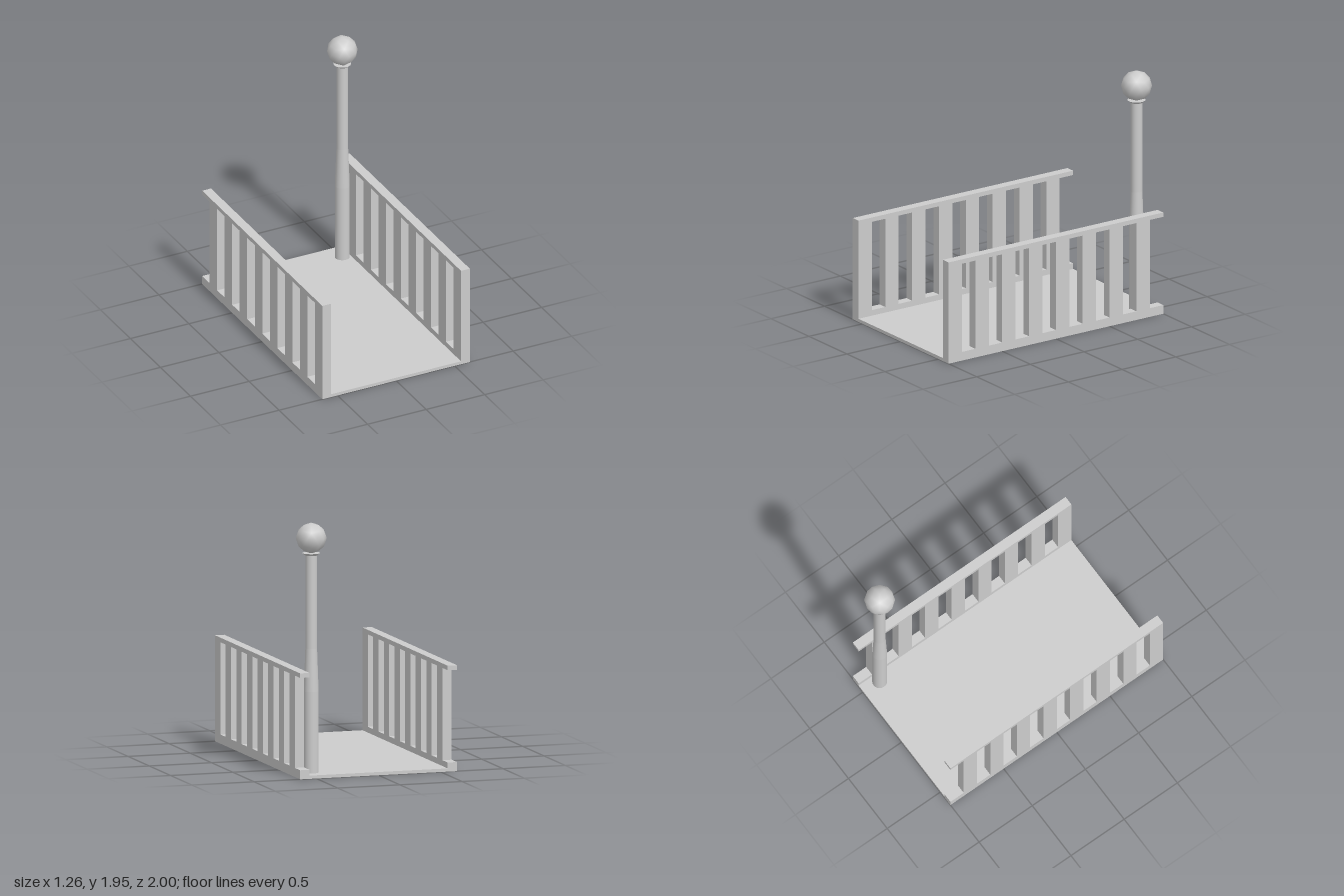
import * as THREE from 'three';

export function createModel() {
  const group = new THREE.Group();
  const grey = new THREE.MeshStandardMaterial({ color: 0xcccccc });
  grey.name = 'grey';

  const add = (name, geometry, parent = group) => {
    const mesh = new THREE.Mesh(geometry, grey);
    mesh.name = name;
    parent.add(mesh);
    return mesh;
  };

  // Deck between the two railings
  add('deck', new THREE.BoxGeometry(1.11, 0.025, 2)).position.y = 0.0125;

  // Railing outline in (z, y): the last gap is open towards the back
  const height = 0.815, low = 0.07, high = 0.78, wall = 0.075;
  const outline = new THREE.Shape([
    [-1, 0], [1, 0], [1, height], [-1, height],
    [-1, high], [-0.875, high], [-0.875, low], [-1, low],
  ].map(([z, y]) => new THREE.Vector2(z, y)));

  // Seven closed gaps between the bars
  for (let i = 0; i < 7; i++) {
    const z = 0.875 - i * 0.25;
    outline.holes.push(new THREE.Path([
      [z, low], [z - 0.125, low], [z - 0.125, high], [z, high],
    ].map(([a, b]) => new THREE.Vector2(a, b))));
  }
  const railing = new THREE.ExtrudeGeometry(outline, { depth: wall, bevelEnabled: false });
  railing.rotateY(-Math.PI / 2);
  add('leftRailing', railing).position.x = 0.63;
  add('rightRailing', railing).position.x = -0.63 + wall;

  // Lamp post standing in the back left corner
  const lamp = new THREE.Group();
  lamp.name = 'lampPost';
  lamp.position.set(0.49, 0, -0.85);
  group.add(lamp);

  const section = (name, rTop, rBottom, y0, y1, open = false) => {
    const geometry = new THREE.CylinderGeometry(rTop, rBottom, y1 - y0, 32, 1, open);
    add(name, geometry, lamp).position.y = (y0 + y1) / 2;
  };
  section('postBase', 0.057, 0.057, 0.025, 0.65, true);
  section('postTaper', 0.045, 0.057, 0.65, 0.98, true);
  section('postShaft', 0.045, 0.045, 0.98, 1.7);
  section('collar', 0.068, 0.048, 1.695, 1.713);

  // Faceted globe
  const globe = new THREE.IcosahedronGeometry(0.118, 1);
  globe.rotateZ(-0.5536);
  add('globe', globe, lamp).position.y = 1.828;

  return group;
}
